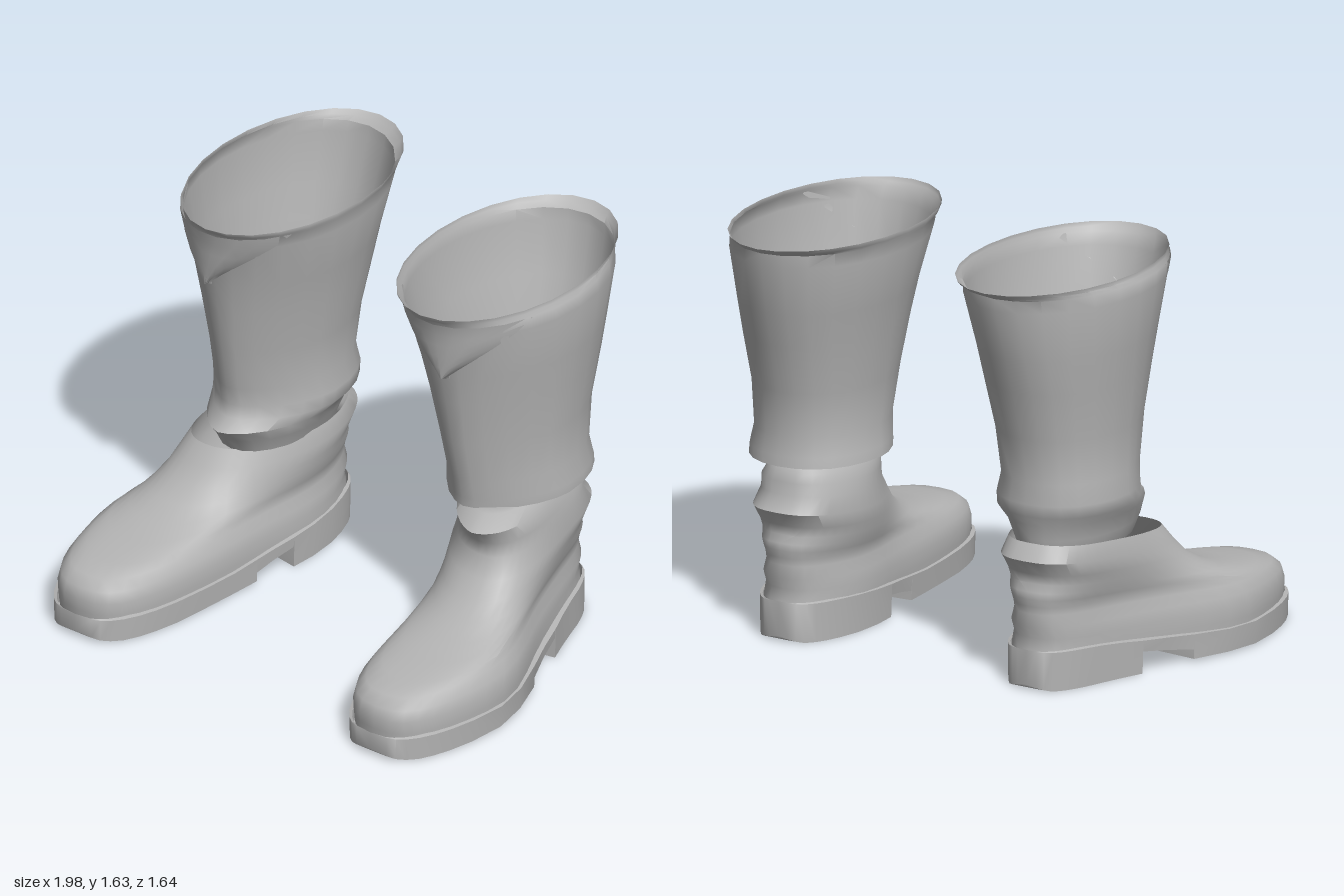
import * as THREE from 'three';
import { toCreasedNormals } from 'three/addons/utils/BufferGeometryUtils.js';

const leather = new THREE.MeshStandardMaterial({ color: 0xb4b4b4, side: THREE.DoubleSide });
leather.name = 'grey leather';

const { lerp, smoothstep } = THREE.MathUtils;
const bend = (v, power) => Math.sign(v) * Math.abs(v) ** power;

// Skin a list of rings, each a list of [x, y, z]; side = -1 mirrors across x.
function loft(name, rings, side, { closed = true, crease = 0.9 } = {}) {
  const n = rings[0].length, pos = [], idx = [];
  rings.forEach(r => r.forEach(p => pos.push(p[0] * side, p[1], p[2])));
  const tri = (a, b, c) => (side > 0 ? idx.push(a, b, c) : idx.push(a, c, b));
  for (let j = 0; j < rings.length - 1; j++) {
    for (let i = 0; i < (closed ? n : n - 1); i++) {
      const k = (i + 1) % n, a = j * n + i, b = j * n + k;
      tri(a, b, b + n);
      tri(a, b + n, a + n);
    }
  }
  const g = new THREE.BufferGeometry();
  g.setAttribute('position', new THREE.Float32BufferAttribute(pos, 3));
  g.setIndex(idx);
  const mesh = new THREE.Mesh(toCreasedNormals(g, crease), leather);
  mesh.name = name;
  return mesh;
}

// Splayed centre line and half width of the foot along z.
const footCentre = z => 0.568 + 0.149 * smoothstep(z, -0.4, 0.4);
const footWidth = z => 0.235 + 0.048 * smoothstep(z, -0.1, 0.35);

// Foot rings: back y, back z, front y, front z, width scale, front roundness.
const FOOT = [
  [0.1, -0.59, 0.06, 0.79, 0.97, 0.72],
  [0.155, -0.59, 0.11, 0.795, 0.98, 0.72],
  [0.2, -0.575, 0.16, 0.798, 0.98, 0.72],
  [0.25, -0.6, 0.205, 0.785, 0.95, 0.72],
  [0.3, -0.59, 0.24, 0.74, 0.88, 0.75],
  [0.33, -0.595, 0.262, 0.64, 0.86, 0.77],
  [0.36, -0.6, 0.285, 0.5, 0.87, 0.8],
  [0.39, -0.6, 0.31, 0.37, 0.89, 0.84],
  [0.42, -0.58, 0.35, 0.27, 0.91, 0.88],
  [0.46, -0.59, 0.4, 0.19, 0.93, 0.88],
  [0.52, -0.63, 0.46, 0.13, 0.95, 0.88],
  [0.58, -0.58, 0.53, 0.075, 0.88, 0.9],
];
// Ankle of the separate foot: tongue, neck and collar folding inwards.
const ANKLE = [
  [0.63, -0.58, 0.59, 0.08, 0.87, 1],
  [0.66, -0.565, 0.66, 0.14, 0.79, 1.25],
  [0.695, -0.55, 0.7, 0.05, 0.69, 1.2],
  [0.7, -0.54, 0.71, 0, 0.62, 1.2],
  [0.66, -0.52, 0.66, -0.1, 0.43, 1.2],
];

function footRing([yb, zb, yf, zf, scale, round], n = 40) {
  return Array.from({ length: n }, (_, i) => {
    const a = (i / n) * Math.PI * 2, u = Math.cos(a);
    const z = (zb + zf) / 2 + (u * (zf - zb)) / 2;
    const power = lerp(0.75, round, smoothstep(u, -0.5, 0.5));
    const x = footCentre(z) + bend(Math.sin(a), power) * footWidth(z) * scale;
    return [x, lerp(yb, yf, (u + 1) / 2), z];
  });
}

// Shaft rings: y, inner x, outer x, back z, front z, pointedness.
const SHAFT = [
  [0.7, 0.31, 0.83, -0.61, 0.055, 1],
  [0.74, 0.315, 0.83, -0.605, 0.06, 1],
  [0.82, 0.33, 0.815, -0.59, 0.075, 1],
  [1.0, 0.31, 0.82, -0.615, 0.11, 0.9],
  [1.2, 0.275, 0.845, -0.67, 0.145, 0.6],
  [1.34, 0.25, 0.86, -0.71, 0.17, 0.3],
  [1.55, 0.2, 0.885, -0.765, 0.215, 0],
  [1.6, 0.2, 0.88, -0.77, 0.235, 0],
  [1.615, 0.19, 0.865, -0.8, 0.255, 0],
  [1.632, 0.19, 0.865, -0.82, 0.265, 0],
];
// Ankle fold that joins the shaft to the foot.
const JOIN = [
  [0.53, 0.4, 0.76, -0.56, 0.04, 0],
  [0.59, 0.375, 0.785, -0.575, 0.075, 0.3],
  [0.65, 0.345, 0.795, -0.58, 0.135, 0.9],
  [0.69, 0.315, 0.825, -0.6, 0.075, 1],
];

function shaftPoint([y, x0, x1, zb, zf, point], a) {
  const u = Math.cos(a), power = u > 0 ? 1 + 0.25 * point : 1 - 0.1 * point;
  const x = (x0 + x1) / 2 + (bend(Math.sin(a), power) * (x1 - x0)) / 2;
  return [x, y, (zb + zf) / 2 + (bend(u, power) * (zf - zb)) / 2];
}
const shaftRing = (r, n = 24) =>
  Array.from({ length: n }, (_, i) => shaftPoint(r, (i / n) * Math.PI * 2));

// Shaft ring at any height
function shaftAt(y) {
  const k = Math.max(1, SHAFT.findIndex(r => r[0] >= y));
  const t = (y - SHAFT[k - 1][0]) / (SHAFT[k][0] - SHAFT[k - 1][0]);
  return SHAFT[k].map((v, i) => lerp(SHAFT[k - 1][i], v, t));
}

// V-shaped fold hanging from the rim at the front.
function cuffFold(side) {
  const rows = [];
  for (let j = 0; j <= 6; j++) {
    const t = Math.max(0, j - 1) / 5, y = lerp(1.34, 1.6, t);
    rows.push(Array.from({ length: 9 }, (_, i) => {
      const v = i / 4 - 1;
      const p = shaftPoint(shaftAt(y), 0.1 + v * (0.04 + 0.95 * t));
      const lift = j === 0 ? 0 : 0.036 * (1 - 0.6 * t) * (1 - v ** 4);
      return [p[0], p[1] - (j === 0 ? 0.012 : 0), p[2] + lift];
    }));
  }
  return loft('cuffFold', rows, side, { closed: false });
}

// Sole sections along z as [z, underside y]; near-equal z makes the heel and arch steps.
const SOLE = [
  [-0.608, 0.02], [-0.605, 0.012], [-0.595, 0.006], [-0.575, 0], [-0.54, 0], [-0.5, 0],
  [-0.44, 0], [-0.36, 0], [-0.25, 0], [-0.151, 0], [-0.15, 0.088], [-0.04, 0.07],
  [0.06, 0.05], [0.061, 0.012], [0.2, 0.01], [0.35, 0.008], [0.5, 0.005], [0.6, 0.005],
  [0.67, 0.005], [0.73, 0.005], [0.77, 0.008], [0.795, 0.012], [0.81, 0.02], [0.818, 0.03],
];

// Open-topped sole with a narrow welt; the heel edge runs square to the splayed foot.
function sole(side) {
  const sections = SOLE.map(([z, bottom]) => {
    const u = (z - 0.105) / 0.713, s = Math.sqrt(Math.max(0, 1 - u * u));
    const w = s ** 0.72 * footWidth(z) * 1.02, c = footCentre(z);
    const top = lerp(0.155, 0.1, smoothstep(z, -0.5, 0.3));
    const skew = 0.18 * Math.max(0, 1 - Math.abs(z + 0.15) / 0.35);
    const half = [[-0.9, top + 0.004], [-1, top], [-0.98, bottom]];
    const outline = [...half, ...half.map(([k, y]) => [-k, y]).reverse()];
    return outline.map(([k, y]) => [c + k * w, y, z - k * w * skew]);
  });
  return loft('sole', sections, side, { closed: false });
}

function boot(name, side, joined) {
  const g = new THREE.Group();
  g.name = name;
  const foot = joined ? FOOT : [...FOOT, ...ANKLE];
  const shaft = joined ? [...JOIN, ...SHAFT.slice(1)] : SHAFT;
  const upper = new THREE.Group();
  upper.name = 'upper';
  upper.add(loft('shaft', shaft.map(r => shaftRing(r)), side), cuffFold(side));
  if (joined) upper.position.x = 0.013;
  g.add(sole(side), loft('foot', foot.map(r => footRing(r)), side), upper);
  return g;
}

export function createModel() {
  const model = new THREE.Group();
  model.name = 'pairOfBoots';
  model.add(boot('leftBoot', 1, false), boot('rightBoot', -1, true));
  return model;
}
